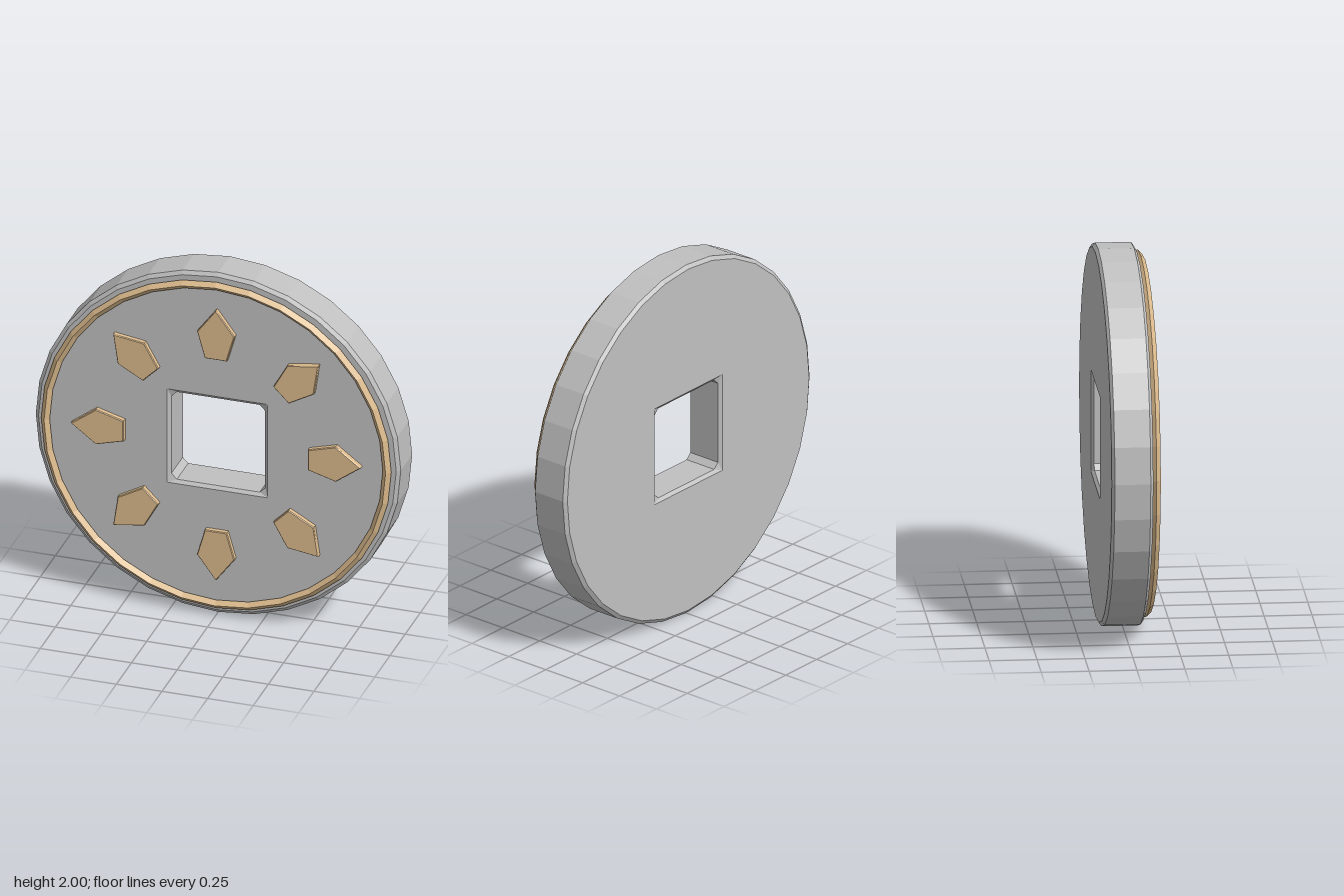
import * as THREE from 'three';

const SIDES = 32, BACK = -0.13, FRONT = 0.087, BEVEL = 0.015;
const FACE_R = 0.98, HOLE = 0.275, HOLE_IN = 0.257, CUT = 0.03;

// Faceted normals
function flat(geometry) {
  const g = geometry.index ? geometry.toNonIndexed() : geometry;
  g.computeVertexNormals();
  return g;
}

// Inner walls of the square hole: square at the faces, clipped corners inside
function holeWalls() {
  const loop = (half, cut, z) => [[1, 1, 0, 1], [1, 1, 1, 0], [-1, 1, 1, 0], [-1, 1, 0, 1],
    [-1, -1, 0, 1], [-1, -1, 1, 0], [1, -1, 1, 0], [1, -1, 0, 1]]
    .map(([x, y, cx, cy]) => [x * (half - cx * cut), y * (half - cy * cut), z]);
  const loops = [loop(HOLE, 0, BACK), loop(HOLE_IN, CUT, BACK + BEVEL),
    loop(HOLE_IN, CUT, FRONT - BEVEL), loop(HOLE, 0, FRONT)];
  const pos = [];
  for (let k = 0; k < 3; k++) {
    for (let i = 0; i < 8; i++) {
      const j = (i + 1) % 8;
      const a = loops[k][i], b = loops[k][j], c = loops[k + 1][j], d = loops[k + 1][i];
      // Corner strips shrink to one triangle where they meet a face
      const corner = i % 2 === 0;
      if (!(corner && k === 0)) pos.push(...a, ...d, ...b);
      if (!(corner && k === 2)) pos.push(...b, ...d, ...c);
      if (corner && k === 0) pos.push(...a, ...d, ...c);
    }
  }
  const g = new THREE.BufferGeometry();
  g.setAttribute('position', new THREE.Float32BufferAttribute(pos, 3));
  return flat(g);
}

export function createModel() {
  const stone = new THREE.MeshStandardMaterial({ color: 0xc0c0c0 });
  stone.name = 'stone grey';
  const tan = new THREE.MeshStandardMaterial({ color: 0xdbba8c });
  tan.name = 'tan';

  const model = new THREE.Group();
  model.name = 'disc';
  const disc = new THREE.Group();
  disc.position.y = 1;
  model.add(disc);
  const add = (name, geometry, material) => {
    const mesh = new THREE.Mesh(geometry, material);
    mesh.name = name;
    disc.add(mesh);
    return mesh;
  };

  // Bevelled rim
  const profile = [[FACE_R, BACK], [1, BACK + BEVEL], [1, FRONT - BEVEL], [FACE_R, FRONT]]
    .map(([r, z]) => new THREE.Vector2(r, z));
  add('rim', flat(new THREE.LatheGeometry(profile, SIDES).rotateX(Math.PI / 2)), stone);

  // Front and back faces with the square hole
  const face = new THREE.Shape(Array.from({ length: SIDES }, (_, i) => {
    const a = i / SIDES * Math.PI * 2;
    return new THREE.Vector2(FACE_R * Math.cos(a), FACE_R * Math.sin(a));
  }));
  face.holes.push(new THREE.Path([[-1, -1], [-1, 1], [1, 1], [1, -1]]
    .map(([x, y]) => new THREE.Vector2(x * HOLE, y * HOLE))));
  add('frontFace', new THREE.ShapeGeometry(face).translate(0, 0, FRONT), stone);
  add('backFace', new THREE.ShapeGeometry(face).rotateY(Math.PI).translate(0, 0, BACK), stone);
  add('holeWalls', holeWalls(), stone);

  // Raised border ring with a diamond section
  add('borderRing', flat(new THREE.TorusGeometry(0.936, 0.0235, 4, SIDES)
    .translate(0, 0, 0.1065)), tan);

  // Eight pointed inlays around the hole
  const kite = new THREE.Shape([[-0.06, 0.505], [0.06, 0.505], [0.103, 0.657], [0, 0.795], [-0.103, 0.657]]
    .map(([x, y]) => new THREE.Vector2(x, y)));
  const inlay = flat(new THREE.ExtrudeGeometry(kite, {
    depth: 0.03, bevelSize: 0.004, bevelOffset: -0.004, bevelThickness: 0.005, bevelSegments: 1,
  }).translate(0, 0, 0.082));
  for (let i = 0; i < 8; i++) add('inlay', inlay, tan).rotation.z = i * Math.PI / 4;

  return model;
}
